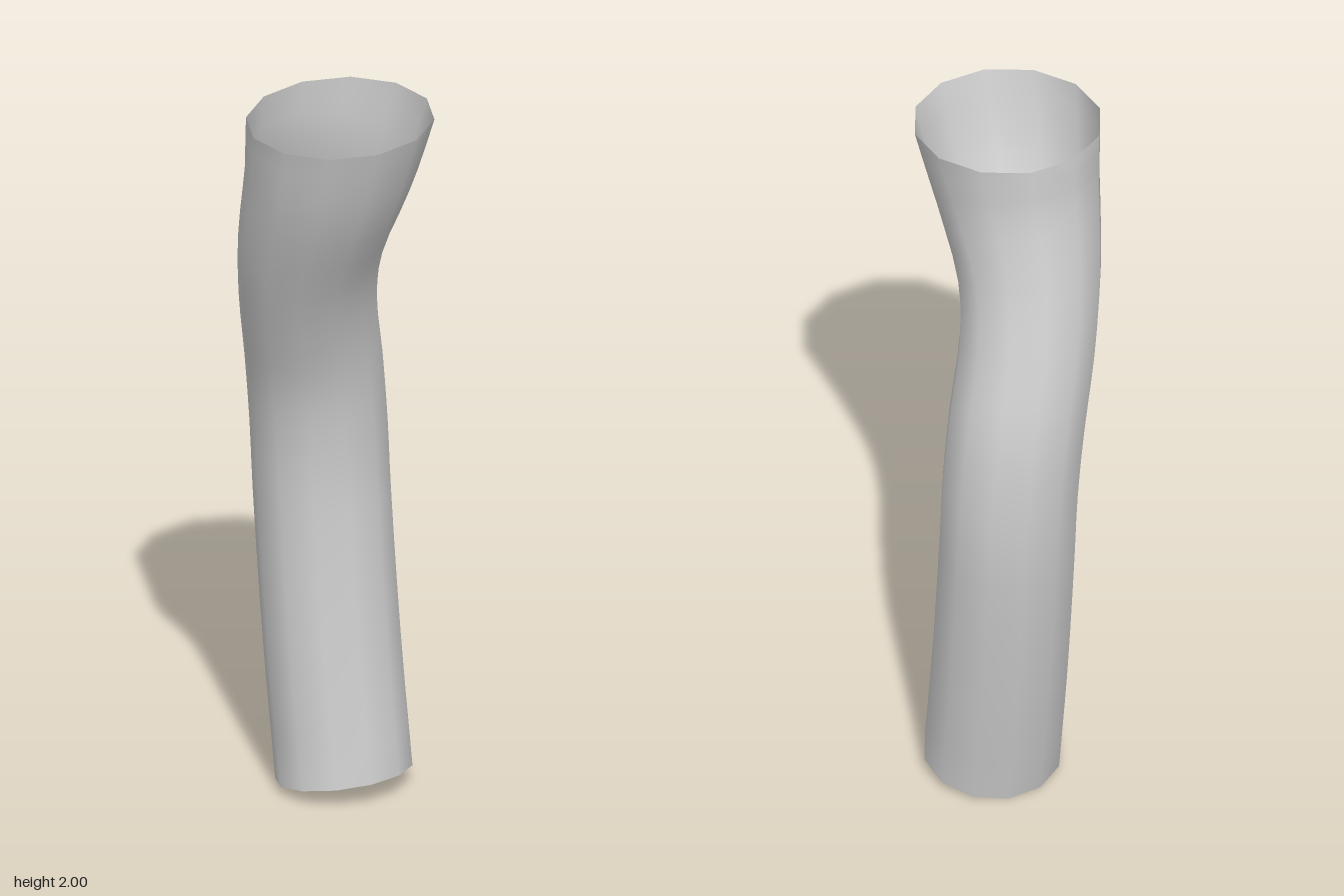
import * as THREE from 'three';

const SIDES = 12;
const PHASE = THREE.MathUtils.degToRad(7.5);
const STEPS = 3; // rings per span

// Stations along the tube: centre x, y, z, radius, ring slope along x, along z
const STATIONS = [
  [0.082, 0.034, -0.043, 0.185, 0.02, 0.19],
  [0.084, 0.4, -0.105, 0.185, 0, 0.165],
  [0.086, 0.8, -0.156, 0.185, 0, 0.07],
  [0.08, 1.0, -0.163, 0.185, 0.06, -0.02],
  [0.055, 1.2, -0.148, 0.185, 0.19, -0.16],
  [0.005, 1.4, -0.098, 0.185, 0.22, -0.3],
  [-0.028, 1.58, -0.035, 0.194, 0.1, -0.38],
  [-0.033, 1.8, 0.055, 0.222, 0, -0.25],
  [-0.022, 1.988, 0.102, 0.252, 0.04, -0.03],
];

function bentTube() {
  const centres = new THREE.CatmullRomCurve3(STATIONS.map(s => new THREE.Vector3(s[0], s[1], s[2])));
  const shapes = new THREE.CatmullRomCurve3(STATIONS.map(s => new THREE.Vector3(s[3], s[4], s[5])));
  const up = new THREE.Vector3(0, 1, 0);
  const rings = (STATIONS.length - 1) * STEPS;
  const positions = [];
  const index = [];

  for (let i = 0; i <= rings; i++) {
    const centre = centres.getPoint(i / rings);
    const { x: radius, y: slopeX, z: slopeZ } = shapes.getPoint(i / rings);
    // Each ring is a slightly oval polygon tilted with the bend
    const normal = new THREE.Vector3(-slopeX, 1, -slopeZ).normalize();
    const tilt = new THREE.Quaternion().setFromUnitVectors(up, normal);
    for (let j = 0; j < SIDES; j++) {
      const angle = PHASE + (j / SIDES) * Math.PI * 2;
      const p = new THREE.Vector3(Math.cos(angle) * radius, 0, Math.sin(angle) * radius * 0.95);
      p.applyQuaternion(tilt).add(centre);
      positions.push(p.x, p.y, p.z);
      if (i < rings) {
        const a = i * SIDES + j;
        const b = i * SIDES + ((j + 1) % SIDES);
        index.push(a, a + SIDES, b, b, a + SIDES, b + SIDES);
      }
    }
  }

  const geometry = new THREE.BufferGeometry();
  geometry.setAttribute('position', new THREE.Float32BufferAttribute(positions, 3));
  geometry.setIndex(index);
  geometry.computeVertexNormals();
  return geometry;
}

export function createModel() {
  const group = new THREE.Group();
  group.name = 'bentSleeve';

  // Thin open tube, flared at the top
  const material = new THREE.MeshStandardMaterial({ color: 0xcccccc, side: THREE.DoubleSide });
  const sleeve = new THREE.Mesh(bentTube(), material);
  sleeve.name = 'sleeve';
  group.add(sleeve);
  return group;
}
